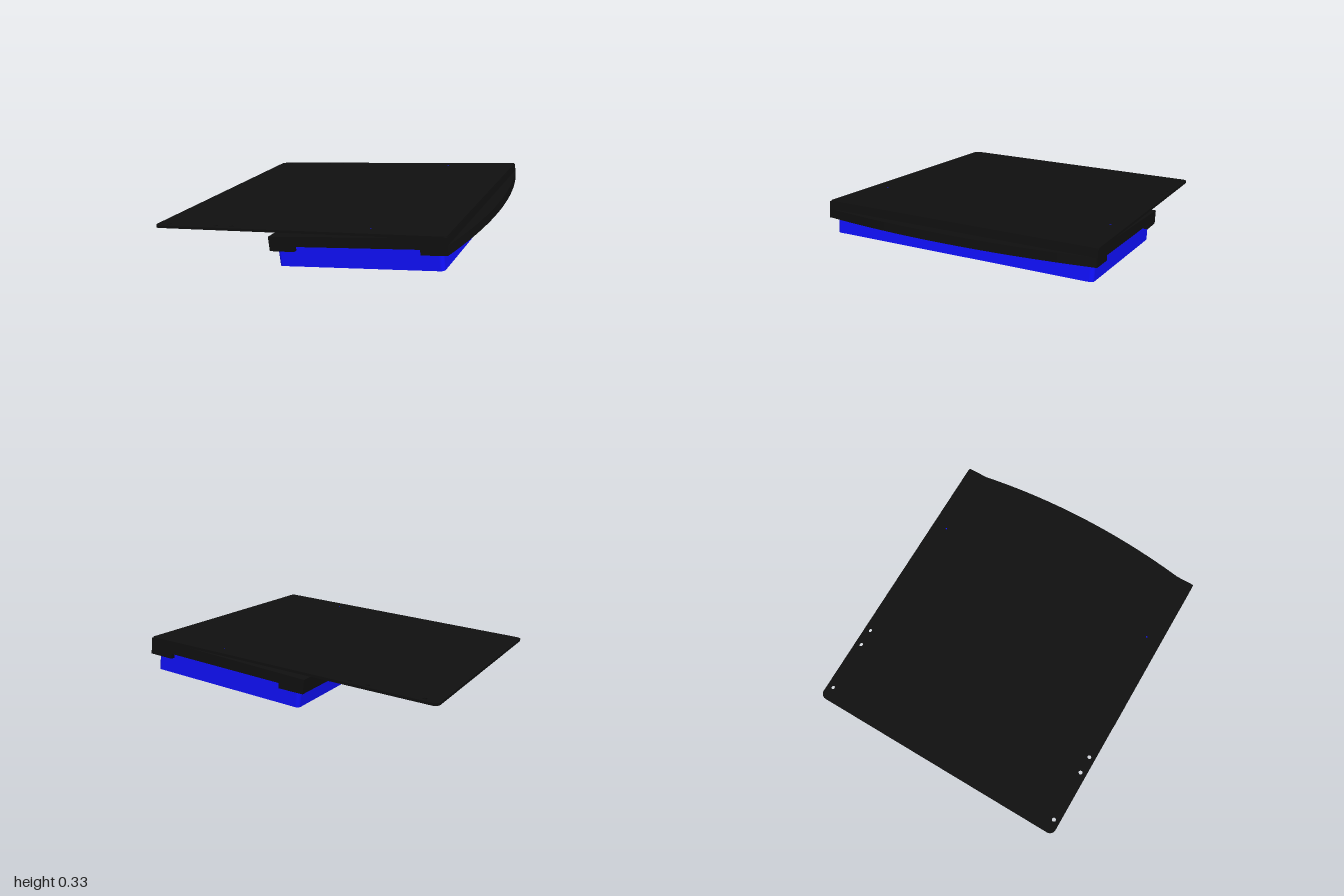
import * as THREE from 'three';

const mat = (color) => new THREE.MeshStandardMaterial({ color });
const black = mat(0x101010), blue = mat(0x1010ff), yellow = mat(0xffff10);

function add(parent, name, geometry, material) {
  const mesh = new THREE.Mesh(geometry, material);
  mesh.name = name;
  parent.add(mesh);
  return mesh;
}

// Extrude a plan shape (x, -z) upwards from y = 0
function slab(shape, height) {
  return new THREE.ExtrudeGeometry(shape, { depth: height, bevelEnabled: false, curveSegments: 24 })
    .rotateX(-Math.PI / 2);
}

// Plan rectangle with separate corner radii at its two x ends
function roundedPlan(x0, x1, halfWidth, r0, r1 = r0) {
  const s = new THREE.Shape(), w = halfWidth, q = Math.PI / 2;
  s.absarc(x1 - r1, w - r1, r1, 0, q);
  s.absarc(x0 + r0, w - r0, r0, q, 2 * q);
  s.absarc(x0 + r0, -w + r0, r0, 2 * q, 3 * q);
  s.absarc(x1 - r1, -w + r1, r1, 3 * q, 4 * q);
  return s;
}

// Group placed at a point and tilted up towards +x
function tilted(parent, name, x, y, slope) {
  const g = new THREE.Group();
  g.name = name;
  g.position.set(x, y, 0);
  g.rotation.z = Math.atan(slope);
  parent.add(g);
  return g;
}

export function createModel() {
  const model = new THREE.Group();

  // Thin cover plate with mounting holes along both sides
  const cover = tilted(model, 'cover', -0.998, 0.139, 0.0935);
  const plan = roundedPlan(0, 1.912, 0.89, 0.04, 0.02);
  for (const x of [0.09, 0.432, 0.546]) for (const z of [-0.85, 0.85]) {
    const hole = new THREE.Path();
    hole.absarc(x, z, 0.013, 0, Math.PI * 2, true);
    plan.holes.push(hole);
  }
  add(cover, 'coverPlate', slab(plan, 0.016), black);
  for (const z of [-0.79, 0.79]) {
    add(cover, 'coverPin', new THREE.CylinderGeometry(0.005, 0.005, 0.01, 12), blue)
      .position.set(1.435, 0.0115, z);
  }

  // Housing: stepped side profile, with tabs at both ends
  const profile = new THREE.Shape([
    [-0.174, 0.099], [-0.013, 0.115], [-0.015, 0.147], [0.757, 0.238], [0.762, 0.206],
    [0.917, 0.224], [0.906, 0.327], [-0.185, 0.187],
  ].map(([x, y]) => new THREE.Vector2(x, y)));
  const housing = new THREE.ExtrudeGeometry(profile, { depth: 1.78, bevelEnabled: false });
  add(model, 'housing', housing.translate(0, 0, -0.89), black);

  // Bowed lip along the +x edge
  const lipPlan = new THREE.Shape();
  lipPlan.moveTo(-0.05, -0.89);
  lipPlan.lineTo(0, -0.89);
  lipPlan.quadraticCurveTo(0.164, 0, 0, 0.89);
  lipPlan.lineTo(-0.05, 0.89);
  add(tilted(model, 'lip', 0.916, 0.2245, 0.119), 'frontLip', slab(lipPlan, 0.055), black);

  // Lower body and its bottom panel
  const body = tilted(model, 'lowerBody', -0.128, 0.001, 0.1175);
  add(body, 'bodyBlock', slab(roundedPlan(0, 1.027, 0.86, 0.025), 0.14), blue);
  add(body, 'bottomPanel', slab(roundedPlan(0.03, 0.997, 0.815, 0.025), 0.01), yellow)
    .position.y = -0.0015;

  return model;
}
